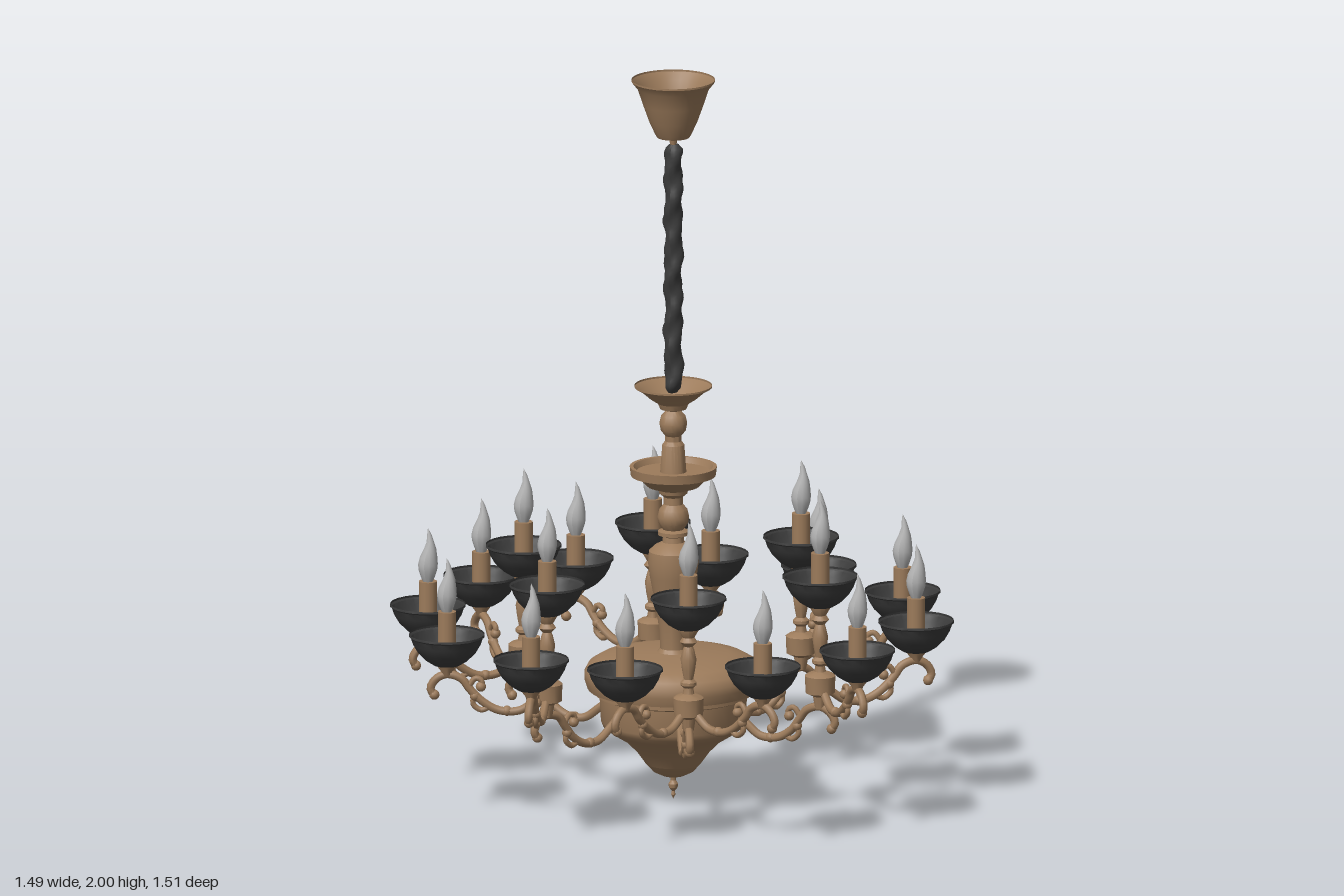
import * as THREE from 'three';
import { toCreasedNormals } from 'three/addons/utils/BufferGeometryUtils.js';

const material = (name, color) => {
  const m = new THREE.MeshStandardMaterial({ color, side: THREE.DoubleSide });
  m.name = name;
  return m;
};

export function createModel() {
  const root = new THREE.Group();
  root.name = 'chandelier';
  const bronze = material('bronze', 0x9c7b5b);
  const black = material('charcoal', 0x3b3b3b);
  const glass = material('bulb grey', 0xb4b4b4);

  const lathe = (points, sides = 24) => toCreasedNormals(
    new THREE.LatheGeometry(points.map(([r, y]) => new THREE.Vector2(r, y)), sides), 0.6);
  const add = (parent, name, geometry, mat, x = 0, y = 0, z = 0) => {
    const mesh = new THREE.Mesh(geometry, mat);
    mesh.name = name;
    mesh.position.set(x, y, z);
    parent.add(mesh);
    return mesh;
  };

  // Ceiling canopy, open at the top
  add(root, 'canopy', lathe([[0.008, 1.815], [0.012, 1.84], [0.044, 1.84], [0.05, 1.85],
    [0.066, 1.885], [0.082, 1.93], [0.097, 1.975], [0.113, 1.995], [0.113, 2]], 32), bronze);

  // Gathered fabric sleeve over the chain
  const sleeve = new THREE.CylinderGeometry(0.024, 0.024, 0.69, 14, 60);
  const p = sleeve.attributes.position;
  for (let i = 0; i < p.count; i++) {
    const x = p.getX(i), y = p.getY(i), z = p.getZ(i), a = Math.atan2(z, x);
    const end = Math.min(1, (0.345 - Math.abs(y)) / 0.03 + 0.5);
    const s = end * (1 + 0.13 * Math.sin(2 * a + y * 62) + 0.07 * Math.sin(3 * a - y * 105));
    p.setXYZ(i, x * s + 0.002 * Math.sin(y * 40), y, z * s + 0.002 * Math.cos(y * 33));
  }
  sleeve.computeVertexNormals();
  add(root, 'chainSleeve', sleeve, black, 0, 1.475, 0);

  // Turned central column, from the vase up to the top bowl
  add(root, 'column', lathe([[0.05, 0.4], [0.036, 0.42], [0.038, 0.47], [0.05, 0.55], [0.064, 0.62],
    [0.069, 0.66], [0.066, 0.69], [0.05, 0.705], [0.03, 0.715], [0.028, 0.73], [0.042, 0.735],
    [0.042, 0.745], [0.028, 0.75], [0.04, 0.768], [0.043, 0.785], [0.038, 0.805], [0.026, 0.82],
    [0.026, 0.84], [0.038, 0.85], [0.042, 0.865]]), bronze);
  add(root, 'middleDish', lathe([[0.04, 0.86], [0.07, 0.87], [0.095, 0.895], [0.115, 0.9],
    [0.118, 0.925], [0.108, 0.925], [0.1, 0.91], [0.036, 0.91]], 32), bronze);
  add(root, 'upperColumn', lathe([[0.036, 0.905], [0.03, 0.985], [0.022, 0.995], [0.022, 1.01],
    [0.034, 1.025], [0.038, 1.045], [0.033, 1.065], [0.02, 1.08], [0.036, 1.085]]), bronze);
  add(root, 'topBowl', lathe([[0, 1.085], [0.036, 1.085], [0.042, 1.1], [0.065, 1.115],
    [0.088, 1.135], [0.105, 1.145], [0.105, 1.15]], 32), bronze);

  // Main body with its stepped bands, bell underside and finial
  add(root, 'body', lathe([[0.03, 0.165], [0.075, 0.1], [0.1, 0.135], [0.13, 0.165], [0.17, 0.19],
    [0.19, 0.205], [0.196, 0.22], [0.2, 0.29], [0.212, 0.295], [0.212, 0.305], [0.232, 0.31],
    [0.24, 0.335], [0.24, 0.355], [0.23, 0.375], [0.2, 0.393], [0.15, 0.404], [0.04, 0.41]].slice(1), 40), bronze);
  add(root, 'finial', lathe([[0, 0], [0.006, 0.012], [0.004, 0.022], [0.012, 0.032], [0.013, 0.042],
    [0.007, 0.052], [0.008, 0.06], [0.03, 0.066], [0.055, 0.078], [0.075, 0.1]]), bronze);

  // Candle parts shared by every light
  const cup = lathe([[0, 0], [0.036, 0], [0.058, 0.014], [0.078, 0.034], [0.092, 0.058],
    [0.098, 0.076], [0.103, 0.08], [0.102, 0.086]], 24);
  const candleTube = new THREE.CylinderGeometry(0.025, 0.025, 0.146, 14);
  const flame = new THREE.LatheGeometry([[0.014, 0], [0.019, 0.012], [0.025, 0.03], [0.027, 0.047],
    [0.024, 0.067], [0.017, 0.09], [0.01, 0.11], [0.006, 0.13], [0, 0.148]]
    .map(([r, y]) => new THREE.Vector2(r, y)), 12);
  const fp = flame.attributes.position;
  for (let i = 0; i < fp.count; i++) fp.setX(i, fp.getX(i) + 0.007 * Math.sin(Math.max(0, fp.getY(i) - 0.06) * 36));
  flame.computeVertexNormals();

  const addCandle = (x, y, z) => {
    const g = new THREE.Group();
    g.name = 'candle';
    g.position.set(x, y, z);
    add(g, 'cup', cup, black);
    add(g, 'candleTube', candleTube, bronze, 0, 0.075, 0);
    add(g, 'bulb', flame, glass, 0, 0.148, 0);
    root.add(g);
  };

  // Scrolled arm: starts at -length, dips, arches under its load at 0 and hooks down
  const knob = new THREE.SphereGeometry(0.014, 10, 8);
  const tube = (points, radius, segments) => new THREE.TubeGeometry(
    new THREE.CatmullRomCurve3(points.map(([x, y]) => new THREE.Vector3(x, y, 0))), segments, radius, 7);
  const addArm = (from, to, peak) => {
    const dx = to[0] - from[0], dz = to[1] - from[1], L = Math.hypot(dx, dz);
    const g = new THREE.Group();
    g.name = 'scrollArm';
    g.position.set(to[0], peak, to[1]);
    g.rotation.y = Math.atan2(-dz, dx);
    add(g, 'armTube', tube([[-L, -0.045], [-L * 0.88, -0.07], [-L * 0.72, -0.098], [-L * 0.52, -0.098],
      [-L * 0.36, -0.075], [-0.062, -0.04], [-0.04, -0.012], [0, 0], [0.03, -0.014],
      [0.044, -0.04], [0.035, -0.058]], 0.0115, 44), bronze);
    add(g, 'innerCurl', tube([[-L * 0.42, -0.09], [-L * 0.34, -0.098], [-L * 0.26, -0.08],
      [-L * 0.28, -0.06]], 0.008, 10), bronze);
    add(g, 'outerCurl', tube([[-0.058, -0.035], [-0.078, -0.01], [-0.095, -0.018], [-0.092, -0.034]], 0.008, 10), bronze);
    for (const [x, y] of [[0.034, -0.058], [-0.092, -0.034], [-L * 0.28, -0.06], [-L * 0.6, -0.1]])
      add(g, 'armKnob', knob, bronze, x, y, 0);
    root.add(g);
  };

  const hub = lathe([[0, -0.07], [0.014, -0.07], [0.02, -0.035], [0.04, -0.025], [0.042, 0.022],
    [0.034, 0.028], [0.016, 0.034], [0.013, 0.05], [0.022, 0.058], [0.022, 0.066], [0.013, 0.074],
    [0.018, 0.1], [0.022, 0.13], [0.016, 0.155], [0.012, 0.165], [0.024, 0.178], [0.016, 0.19],
    [0.03, 0.214], [0.03, 0.22]], 14);
  const socket = lathe([[0.012, -0.005], [0.016, 0.008], [0.028, 0.024], [0.03, 0.032]], 14);

  // Six hubs, each with a tall candle and two lower ones branching outward
  const clusters = [
    [[0.436, 0.014], [0.644, -0.16], [0.626, 0.207]],
    [[0.206, 0.385], [0.462, 0.477], [0.132, 0.652]],
    [[-0.208, 0.385], [-0.144, 0.65], [-0.464, 0.475]],
    [[-0.44, -0.004], [-0.644, 0.178], [-0.642, -0.19]],
    [[-0.22, -0.382], [-0.48, -0.464], [-0.162, -0.648]],
    [[0.214, -0.382], [0.154, -0.648], [0.477, -0.464]],
  ];
  for (const [center, ...ends] of clusters) {
    const k = 0.19 / Math.hypot(...center);
    addArm([center[0] * k, center[1] * k], center, 0.3);
    add(root, 'hubStem', hub, bronze, center[0], 0.365, center[1]);
    addCandle(center[0], 0.58, center[1]);
    for (const end of ends) {
      addArm(center, end, 0.41);
      add(root, 'cupSocket', socket, bronze, end[0], 0.41, end[1]);
      addCandle(end[0], 0.436, end[1]);
    }
  }
  return root;
}
